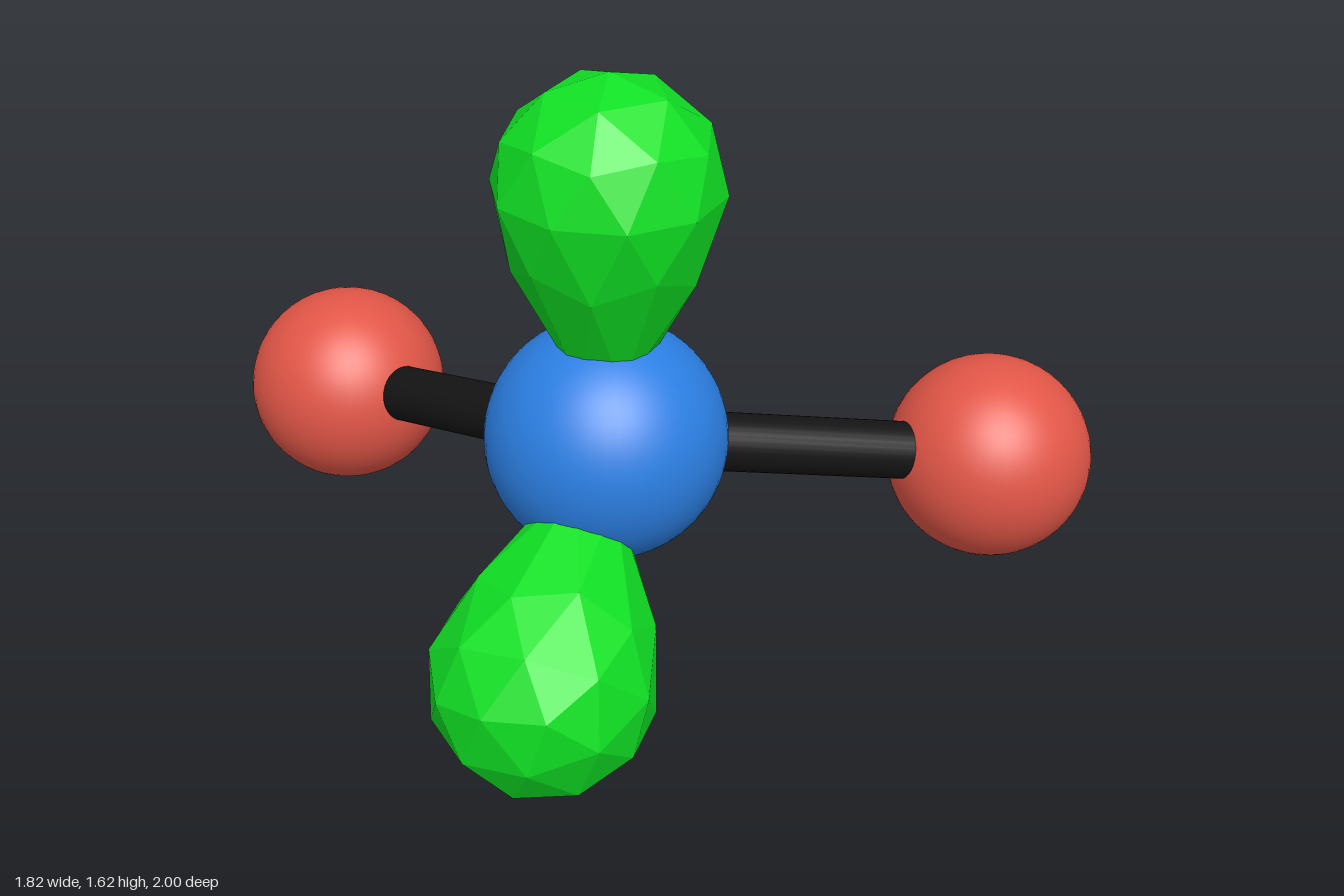
import * as THREE from 'three';

const UP = new THREE.Vector3(0, 1, 0);
const CORE = new THREE.Vector3(-0.26, 0.695, 0.263);

const material = (color, flatShading = false) => new THREE.MeshStandardMaterial({ color, flatShading });

function ball(name, centre, radius, mat) {
  const mesh = new THREE.Mesh(new THREE.SphereGeometry(radius, 48, 32), mat);
  mesh.name = name;
  mesh.position.copy(centre);
  return mesh;
}

// Rod between two points
function rod(name, from, to, radius, mat) {
  const span = to.clone().sub(from);
  const mesh = new THREE.Mesh(new THREE.CylinderGeometry(radius, radius, span.length(), 32), mat);
  mesh.name = name;
  mesh.position.copy(from).addScaledVector(span, 0.5);
  mesh.quaternion.setFromUnitVectors(UP, span.normalize());
  return mesh;
}

// Faceted teardrop: round cap above its equator, drawn down to a tip at y = -stem
function lobeGeometry(radius, stem) {
  const geo = new THREE.IcosahedronGeometry(1, 1);
  geo.rotateZ(-Math.atan(2 / (1 + Math.sqrt(5)))); // one corner straight up
  const p = geo.attributes.position;
  for (let i = 0; i < p.count; i++) {
    const y = p.getY(i);
    const s = Math.max(0, -y);
    const w = radius * (1 - 0.95 * s ** 5);
    const h = y > 0 ? y * radius : -stem * s ** 1.85;
    p.setXYZ(i, p.getX(i) * w, h, p.getZ(i) * w);
  }
  geo.computeVertexNormals();
  return geo;
}

function lobe(name, centre, mat) {
  const dir = centre.clone().sub(CORE);
  const mesh = new THREE.Mesh(lobeGeometry(0.278, dir.length()), mat);
  mesh.name = name;
  mesh.position.copy(centre);
  mesh.quaternion.setFromUnitVectors(UP, dir.normalize());
  return mesh;
}

export function createModel() {
  const group = new THREE.Group();
  group.name = 'molecule';
  const blue = material(0x2b7fe3);
  const red = material(0xe25647);
  const black = material(0x141414);
  const green = material(0x10e024, true);

  // Central atom
  group.add(ball('centralAtom', CORE, 0.295, blue));

  // Outer atoms and their bonds
  const outer = {
    left: new THREE.Vector3(0.65, 0.475, 0.74),
    back: new THREE.Vector3(-0.263, 0.468, -0.74),
  };
  for (const [side, centre] of Object.entries(outer)) {
    group.add(ball(`${side}Atom`, centre, 0.26, red));
    group.add(rod(`${side}Bond`, CORE, centre, 0.073, black));
  }

  // Lone-pair lobes
  group.add(lobe('topLobe', new THREE.Vector3(-0.255, 1.342, 0.265), green));
  group.add(lobe('lowerLobe', new THREE.Vector3(-0.645, 0.266, 0.445), green));

  return group;
}
